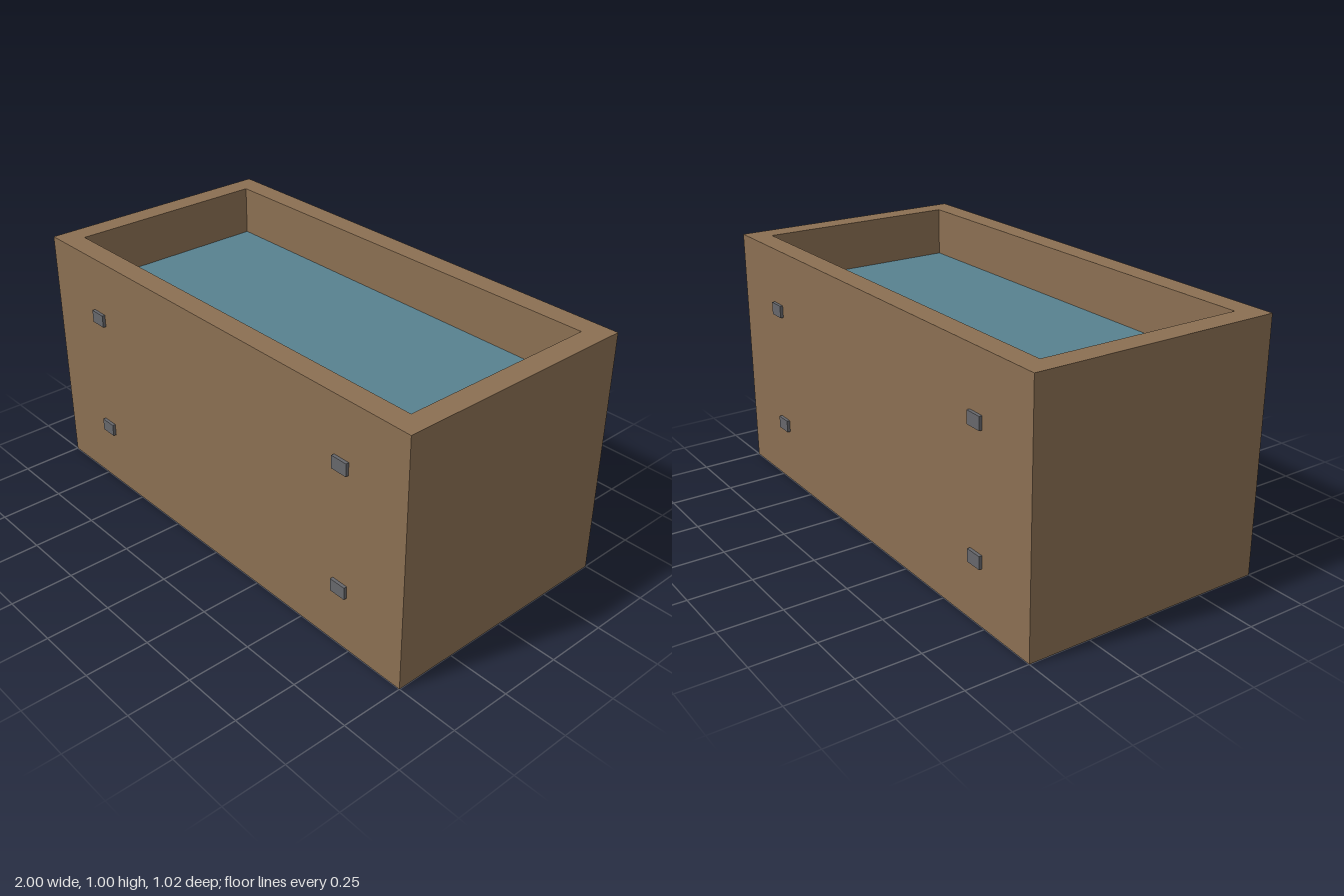
import * as THREE from 'three';

const HALF_X = 1, HALF_Z = 0.5, WALL = 0.088, WATER_LEVEL = 0.8;

// Rectangular open box: each ring is [inset from the outer edge, height].
function tankGeometry(rings) {
  const corners = [[-1, 1], [1, 1], [1, -1], [-1, -1]];
  const positions = [];
  const point = ([inset, y], c) => {
    const [sx, sz] = corners[c % 4];
    return [sx * (HALF_X - inset), y, sz * (HALF_Z - inset)];
  };
  for (let r = 0; r < rings.length - 1; r++) {
    for (let c = 0; c < 4; c++) {
      const a = point(rings[r], c), b = point(rings[r], c + 1);
      const d = point(rings[r + 1], c), e = point(rings[r + 1], c + 1);
      positions.push(...a, ...b, ...e, ...a, ...e, ...d);
    }
  }
  const geometry = new THREE.BufferGeometry();
  geometry.setAttribute('position', new THREE.Float32BufferAttribute(positions, 3));
  geometry.computeVertexNormals();
  return geometry;
}

export function createModel() {
  const wood = new THREE.MeshStandardMaterial({ name: 'brown wood', color: 0x8b6f52 });
  const blue = new THREE.MeshStandardMaterial({ name: 'blue water', color: 0x58818f });
  const metal = new THREE.MeshStandardMaterial({ name: 'grey metal', color: 0x66676b });

  const model = new THREE.Group();
  model.name = 'waterTank';
  const add = (name, geometry, material, x = 0, y = 0, z = 0) => {
    const mesh = new THREE.Mesh(geometry, material);
    mesh.name = name;
    mesh.position.set(x, y, z);
    model.add(mesh);
  };

  // Underside, outer walls, rim, inner walls and floor
  add('tank', tankGeometry([[0.5, 0], [0, 0], [0, 1], [WALL, 1], [WALL, WALL], [0.5, WALL]]), wood);

  // Water filling the inside
  const depth = WATER_LEVEL - WALL;
  add('water', new THREE.BoxGeometry(2 * (HALF_X - WALL), depth, 2 * (HALF_Z - WALL)), blue,
    0, WALL + depth / 2, 0);

  // Four bolts on the front and four on the back
  const bolt = new THREE.BoxGeometry(0.07, 0.05, 0.025);
  for (const [side, z] of [['front', HALF_Z], ['back', -HALF_Z]]) {
    for (const x of [-0.7, 0.7]) {
      for (const y of [0.25, 0.75]) add(`${side}Bolt`, bolt, metal, x, y, z);
    }
  }
  return model;
}
